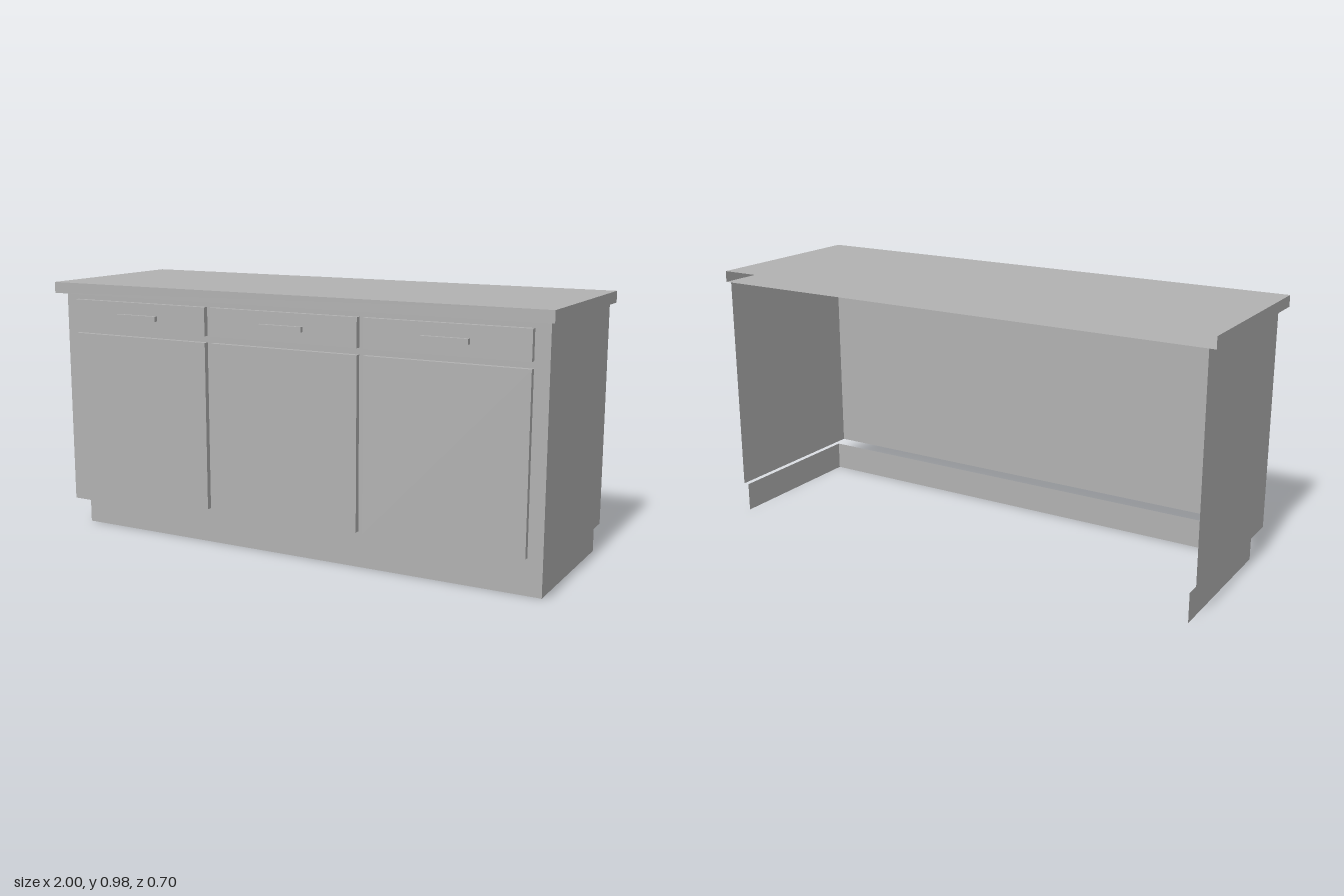
import * as THREE from 'three';

const FACES = ['right', 'left', 'top', 'bottom', 'front', 'back'];

// Box between two corners, leaving out the named open faces
function openBox(name, material, [x0, y0, z0], [x1, y1, z1], open = []) {
  const geometry = new THREE.BoxGeometry(x1 - x0, y1 - y0, z1 - z0);
  geometry.translate((x0 + x1) / 2, (y0 + y1) / 2, (z0 + z1) / 2);
  const index = Array.from(geometry.index.array);
  geometry.setIndex(index.filter((_, i) => !open.includes(FACES[Math.floor(i / 6)])));
  geometry.clearGroups();
  const mesh = new THREE.Mesh(geometry, material);
  mesh.name = name;
  return mesh;
}

export function createModel() {
  const model = new THREE.Group();
  model.name = 'sideboard';
  const grey = new THREE.MeshStandardMaterial({ color: 0xb2b2b2, side: THREE.DoubleSide });
  grey.name = 'grey';

  const back = -0.348;
  const bodyFront = 0.304;
  const doorFront = 0.324;

  // Thin-walled shells, open at the back
  model.add(
    openBox('countertop', grey, [-1, 0.937, back], [1, 0.979, 0.348], ['back']),
    openBox('cabinetBody', grey, [-0.976, 0.11, back], [0.976, 0.937, bodyFront], ['top', 'bottom', 'back']),
    openBox('plinth', grey, [-0.955, 0, back], [0.955, 0.11, 0.24], ['top', 'bottom', 'back'])
  );

  // Three bays, each with a door, a drawer front and a bar handle
  for (const x of [-0.623, 0, 0.623]) {
    const bay = new THREE.Group();
    bay.name = 'bay';
    bay.position.x = x;
    bay.add(
      openBox('door', grey, [-0.299, 0.155, bodyFront], [0.299, 0.784, doorFront], ['back']),
      openBox('drawerFront', grey, [-0.299, 0.808, bodyFront], [0.299, 0.914, doorFront], ['back']),
      openBox('handle', grey, [-0.087, 0.85, doorFront], [0.087, 0.869, 0.339], ['back'])
    );
    model.add(bay);
  }
  return model;
}
